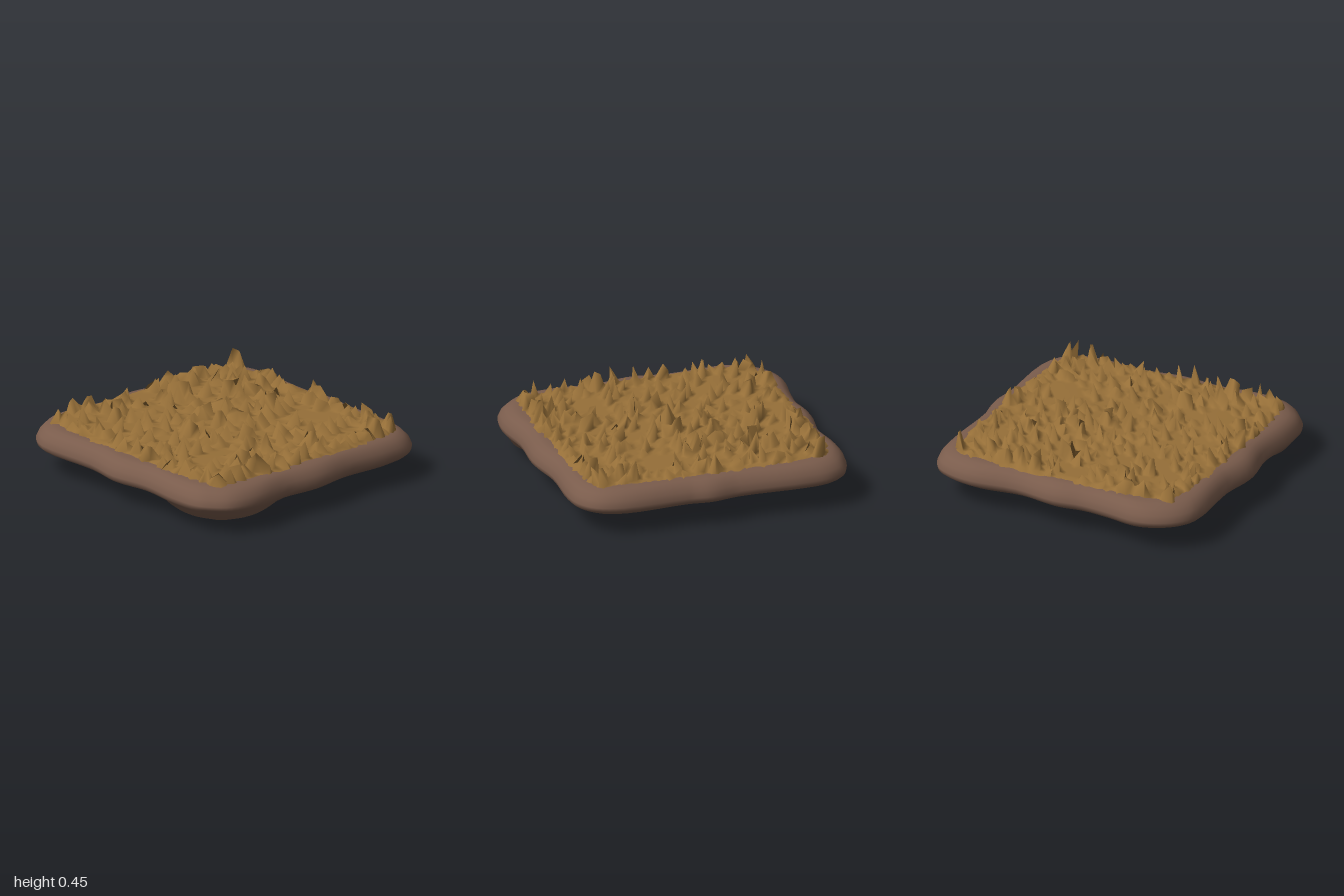
import * as THREE from 'three';

// Small seeded random generator
function makeRandom(seed) {
  let s = seed;
  return () => {
    s = (s * 1664525 + 1013904223) % 4294967296;
    return s / 4294967296;
  };
}

function makeGeometry(positions, indices) {
  const g = new THREE.BufferGeometry();
  g.setAttribute('position', new THREE.Float32BufferAttribute(positions, 3));
  g.setIndex(indices);
  g.computeVertexNormals();
  return g;
}

// Wavy rounded-square outline of the slab, as x, z pairs
const outline = [
  [-0.62, -0.985], [-0.15, -0.97], [0.06, -1], [0.22, -0.98], [0.68, -0.98], [0.85, -0.92],
  [0.94, -0.8], [0.965, -0.65], [0.95, -0.3], [0.99, 0], [0.97, 0.3], [1, 0.6],
  [0.96, 0.8], [0.87, 0.9], [0.78, 0.955], [0.58, 0.975], [0.27, 0.95], [0, 0.99],
  [-0.27, 0.95], [-0.74, 0.955], [-0.88, 0.88], [-0.97, 0.75], [-1, 0.62], [-0.97, 0.4],
  [-0.955, 0.2], [-0.98, 0], [-0.94, -0.3], [-0.975, -0.62], [-0.95, -0.78], [-0.89, -0.9],
  [-0.78, -0.965],
];

// Underside height: nearly flat, with one lump under the front left corner
function underside(x, z) {
  const base = 0.14 - 0.02 * Math.max(0, x) + 0.015 * Math.exp(-12 * (x + 0.3) ** 2);
  const d = Math.hypot(x - 0.65, z - 0.61);
  const lump = THREE.MathUtils.clamp(1 - (d - 0.07) / 0.31, 0, 1);
  return base * (1 - lump);
}

function soilGeometry() {
  const curve = new THREE.CatmullRomCurve3(
    outline.map(([x, z]) => new THREE.Vector3(x, 0, z)), true);
  const count = 124;
  const loop = Array.from({ length: count }, (_, i) => curve.getPoint(i / count));
  // Rings from the underside centre, round the rim, to the top centre
  const rings = [0, 0.2, 0.35, 0.5, 0.6, 0.65, 0.7, 0.75, 0.8, 0.87, 0.93].map((s) => [s, null]);
  rings.push([0.975, 0.158], [0.995, 0.178], [1, 0.205], [0.985, 0.248], [0.955, 0.285],
    [0.92, 0.305], [0.88, 0.314], [0.75, 0.316], [0.4, 0.314], [0, 0.314]);
  const positions = [], indices = [];
  rings.forEach(([s, y], k) => {
    loop.forEach((p, i) => {
      const x = p.x * s, z = p.z * s;
      positions.push(x, y === null ? underside(x, z) : y - 0.01 * x, z);
      if (k === rings.length - 1) return;
      const a = k * count + i, b = k * count + (i + 1) % count;
      if (k < rings.length - 2) indices.push(a, a + count, b);
      else indices.push(a, a + count, b);
      if (k > 0 && k < rings.length - 2) indices.push(b, a + count, b + count);
      if (k === 0) indices.push(b, a + count, b + count);
    });
  });
  return makeGeometry(positions, indices);
}

// Grass sheet: a jittered grid with scattered vertices pulled up into tufts
function grassGeometry() {
  const random = makeRandom(17);
  const n = 50, positions = [], indices = [];
  for (let j = 0; j <= n; j++) {
    for (let i = 0; i <= n; i++) {
      const u = (2 * i) / n - 1, v = (2 * j) / n - 1;
      const edge = Math.max(Math.abs(u), Math.abs(v));
      let x = 0.87 * u * (1 - 0.05 * v ** 4);
      let z = 0.86 * v * (1 - 0.05 * u ** 4) - 0.01;
      let y = 0.323 + 0.008 * Math.sin(9 * x + 4 * z) * Math.sin(7 * z) * (1 - edge);
      const r = random(), h = random(), jx = random() - 0.5, jz = random() - 0.5;
      if (edge > 0.99) {
        // Ragged border lying on the soil
        y = 0.309 - 0.012 * (u * v) ** 6;
        x += 0.025 * jx;
        z += 0.025 * jz;
      } else if (edge < 0.97) {
        const chance = edge > 0.85 ? 0.26 : 0.13;
        const tuft = r < chance;
        if (tuft) y += 0.03 + 0.095 * h ** 1.4;
        x += jx * (tuft ? 0.06 : 0.018);
        z += jz * (tuft ? 0.06 : 0.018);
      }
      positions.push(x, y - 0.01 * x, z);
      if (i < n && j < n) {
        const a = j * (n + 1) + i, c = a + n + 1;
        indices.push(a, c, a + 1, a + 1, c, c + 1);
      }
    }
  }
  return makeGeometry(positions, indices);
}

export function createModel() {
  const group = new THREE.Group();
  group.name = 'grassTile';
  const soilMaterial = new THREE.MeshStandardMaterial({ color: 0x7a5c4c });
  soilMaterial.name = 'soil brown';
  const grassMaterial = new THREE.MeshStandardMaterial({ color: 0x966f38, side: THREE.DoubleSide });
  grassMaterial.name = 'dry grass';

  const soil = new THREE.Mesh(soilGeometry(), soilMaterial);
  soil.name = 'soilSlab';
  const grass = new THREE.Mesh(grassGeometry(), grassMaterial);
  grass.name = 'grassTufts';
  group.add(soil, grass);
  return group;
}
